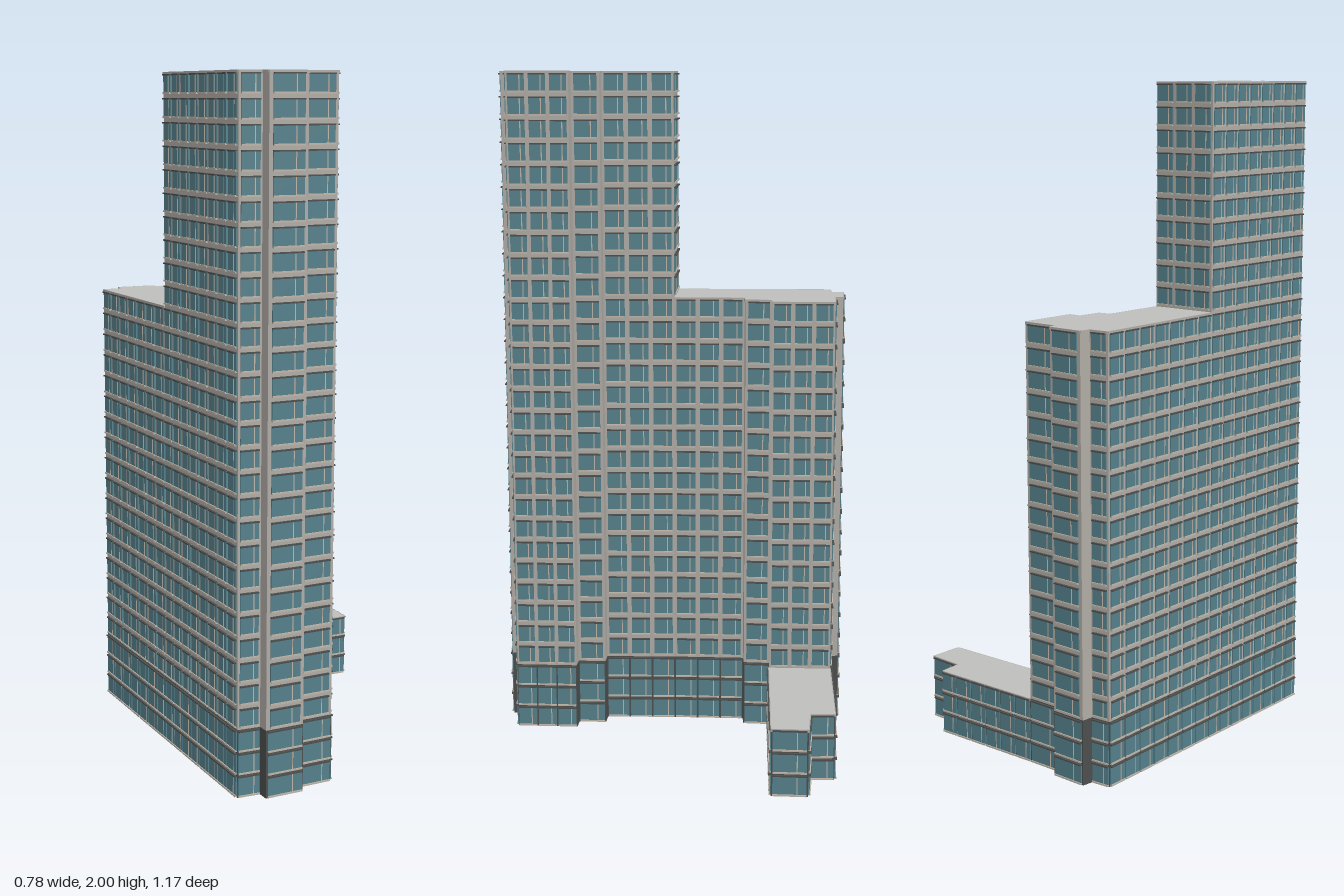
import * as THREE from 'three';
import { mergeGeometries } from 'three/addons/utils/BufferGeometryUtils.js';

const FLOOR = 2 / 30;
const BASE_FLOORS = 3;

const material = (name, color) => {
  const m = new THREE.MeshStandardMaterial({ color });
  m.name = name;
  return m;
};

// Footprints as [x, z] corners, counter-clockwise seen from above.
// seam: the edge starting at this corner is hidden below the given floor.
const blocks = [
  {
    name: 'tallTower', floors: 30, seam: { 11: 20 },
    outline: [[-0.155, 0.165], [0.08, 0.58], [0.142, 0.55], [0.16, 0.579], [0.262, 0.52], [0.25, 0.496],
      [0.34, 0.442], [0.253, 0.28], [0.215, 0.299], [0.174, 0.226], [0.134, 0.247], [0.026, 0.064]],
  },
  {
    name: 'middleTower', floors: 20, seam: { 1: 99, 6: 3 },
    outline: [[-0.388, -0.246], [-0.155, 0.165], [0.026, 0.064], [-0.075, -0.123], [-0.042, -0.145], [-0.077, -0.217],
      [-0.04, -0.236], [-0.13, -0.4], [-0.232, -0.345], [-0.247, -0.366], [-0.349, -0.313], [-0.336, -0.28]],
  },
  {
    name: 'lowWing', floors: 3, seam: { 5: 99 },
    outline: [[-0.04, -0.236], [0.386, -0.481], [0.338, -0.574], [0.233, -0.523], [0.195, -0.583], [-0.13, -0.4]],
  },
];

// Solid wall mass between two floors
function mass(outline, from, to, materials, name) {
  const shape = new THREE.Shape(outline.map(([x, z]) => new THREE.Vector2(x, -z)));
  const geo = new THREE.ExtrudeGeometry(shape, { depth: (to - from) * FLOOR, bevelEnabled: false });
  geo.rotateX(-Math.PI / 2).translate(0, from * FLOOR, 0);
  const mesh = new THREE.Mesh(geo, materials);
  mesh.name = name;
  return mesh;
}

export function createModel() {
  const roof = material('roof grey', 0xbebebc);
  const wall = material('wall grey', 0xb0aca6);
  const dark = material('dark frame', 0x4c4e4e);
  const glass = material('teal glass', 0x55808b);
  const trim = material('beige trim', 0xbfb5a8);

  const model = new THREE.Group();
  model.name = 'steppedTowerBlock';

  for (const { name, floors, seam, outline } of blocks) {
    const group = new THREE.Group();
    group.name = name;
    model.add(group);
    group.add(mass(outline, 0, BASE_FLOORS, [roof, dark], 'baseWalls'));
    if (floors > BASE_FLOORS) group.add(mass(outline, BASE_FLOORS, floors, [roof, wall], 'upperWalls'));

    const parts = { windows: [], hoods: [], sillsAndMullions: [], parapet: [] };

    outline.forEach(([x, z], i) => {
      const [x2, z2] = outline[(i + 1) % outline.length];
      const dx = x2 - x, dz = z2 - z, length = Math.hypot(dx, dz);
      const start = seam[i] ?? 0;
      const frame = new THREE.Matrix4().makeRotationY(Math.atan2(-dz, dx)).setPosition(x, 0, z);
      // Thin box on this facade: along, height, width, height size, depth
      const plate = (list, u, y, w, h, d) => {
        const box = new THREE.BoxGeometry(w, h, d).translate(u, y, d / 2 - 0.0005);
        list.push(box.applyMatrix4(frame));
      };

      if (start < floors) plate(parts.parapet, length / 2, floors * FLOOR - 0.004, length, 0.008, 0.003);
      if (length < 0.05) return;

      const bays = length < 0.13 ? 1 : Math.round(length / 0.063);
      const bay = length / bays;
      for (let f = start; f < floors; f++) {
        const isBase = f < BASE_FLOORS;
        const w = bay * (isBase ? 0.92 : 0.8);
        const h = FLOOR * (isBase ? 0.86 : 0.76);
        const y = (f + 0.5) * FLOOR;
        for (let b = 0; b < bays; b++) {
          const u = (b + 0.5) * bay;
          plate(parts.windows, u, y, w, h, 0.004);
          plate(parts.hoods, u, y + h / 2, w, 0.004, 0.008);
          plate(parts.sillsAndMullions, u, y - h / 2, w, 0.005, 0.007);
          plate(parts.sillsAndMullions, u + w * 0.22, y, 0.003, h, 0.005);
        }
      }
    });

    const finish = { windows: glass, hoods: dark, sillsAndMullions: trim, parapet: wall };
    for (const [part, list] of Object.entries(parts)) {
      const mesh = new THREE.Mesh(mergeGeometries(list), finish[part]);
      mesh.name = part;
      group.add(mesh);
    }
  }
  return model;
}
